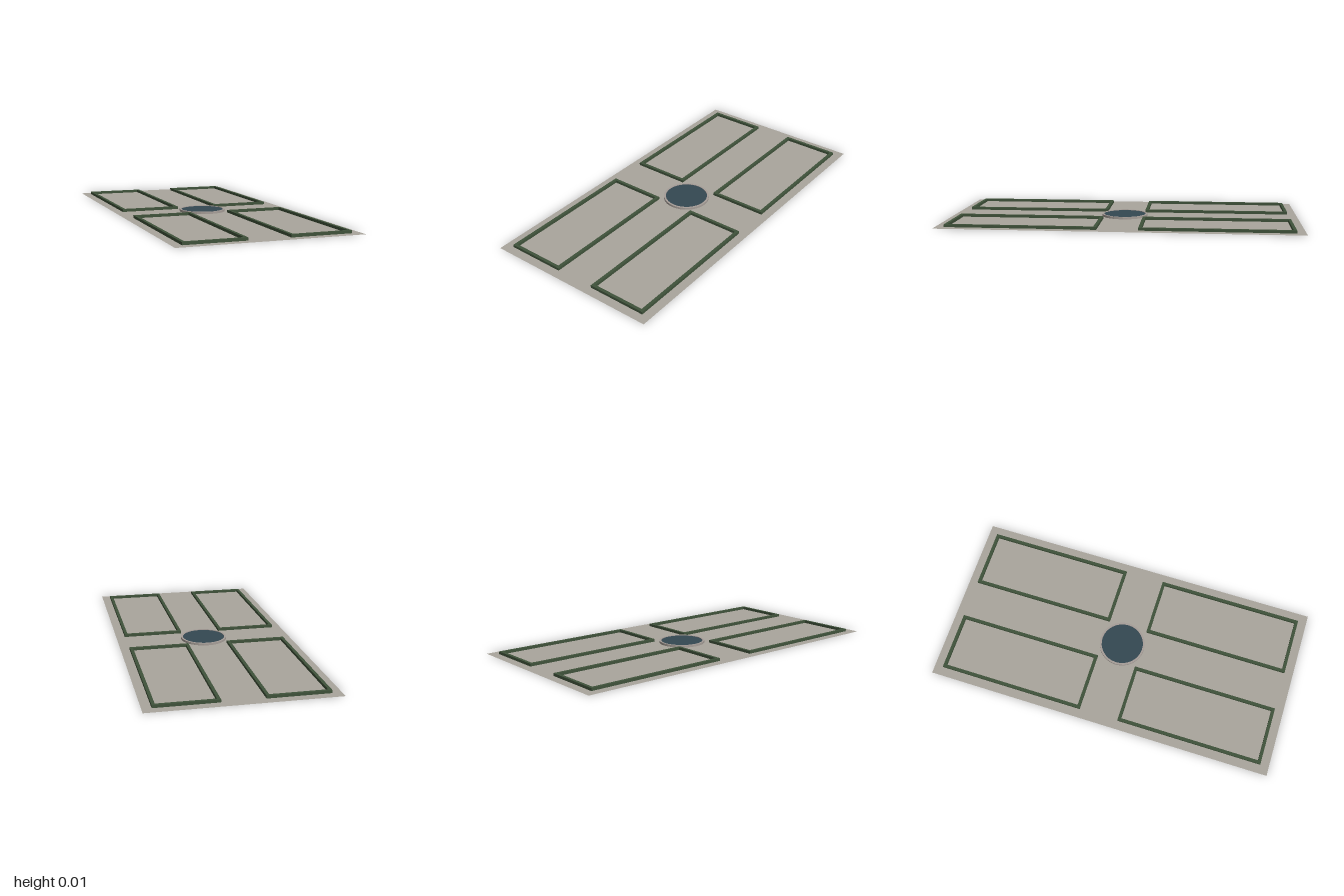
import * as THREE from 'three';

const mat = (name, color, side = THREE.FrontSide) => {
  const m = new THREE.MeshStandardMaterial({ color, side });
  m.name = name;
  return m;
};

export function createModel() {
  const group = new THREE.Group();
  group.name = 'formalGarden';
  const gravel = mat('gravel', 0xaaa59d, THREE.DoubleSide);
  const hedge = mat('hedge green', 0x3f523a);
  const stone = mat('stone', 0xa69e98);
  const water = mat('water', 0x344852);

  const add = (name, geometry, material, y = 0) => {
    const mesh = new THREE.Mesh(geometry, material);
    mesh.name = name;
    mesh.position.y = y;
    group.add(mesh);
    return mesh;
  };

  // Flat upright ring or frame: outline with a hole, extruded upwards
  const extrudeUp = (shape, depth, curveSegments = 32) =>
    new THREE.ExtrudeGeometry(shape, { depth, bevelEnabled: false, curveSegments }).rotateX(-Math.PI / 2);

  // Gravel court
  add('ground', new THREE.PlaneGeometry(1, 2).rotateX(-Math.PI / 2), gravel);

  // Four low hedges, each a rectangular frame around a bed
  const rect = (Type, w, h) => new Type([
    new THREE.Vector2(-w / 2, -h / 2), new THREE.Vector2(w / 2, -h / 2),
    new THREE.Vector2(w / 2, h / 2), new THREE.Vector2(-w / 2, h / 2),
  ]);
  const width = 0.337, length = 0.837, thick = 0.0175;
  const frame = rect(THREE.Shape, width, length);
  frame.holes.push(rect(THREE.Path, width - 2 * thick, length - 2 * thick));
  const hedgeGeometry = extrudeUp(frame, 0.015);
  for (const sx of [-1, 1]) {
    for (const sz of [-1, 1]) {
      const bed = add('hedgeFrame', hedgeGeometry, hedge);
      bed.position.set(sx * 0.2815, 0, sz * 0.5315);
    }
  }

  // Round pool: stone rim and water just below its top
  const ring = new THREE.Shape().absarc(0, 0, 0.132, 0, Math.PI * 2);
  ring.holes.push(new THREE.Path().absarc(0, 0, 0.121, 0, Math.PI * 2, true));
  add('poolRim', extrudeUp(ring, 0.0125, 16), stone);
  add('poolWater', new THREE.CircleGeometry(0.122, 32).rotateX(-Math.PI / 2), water, 0.01);

  return group;
}
